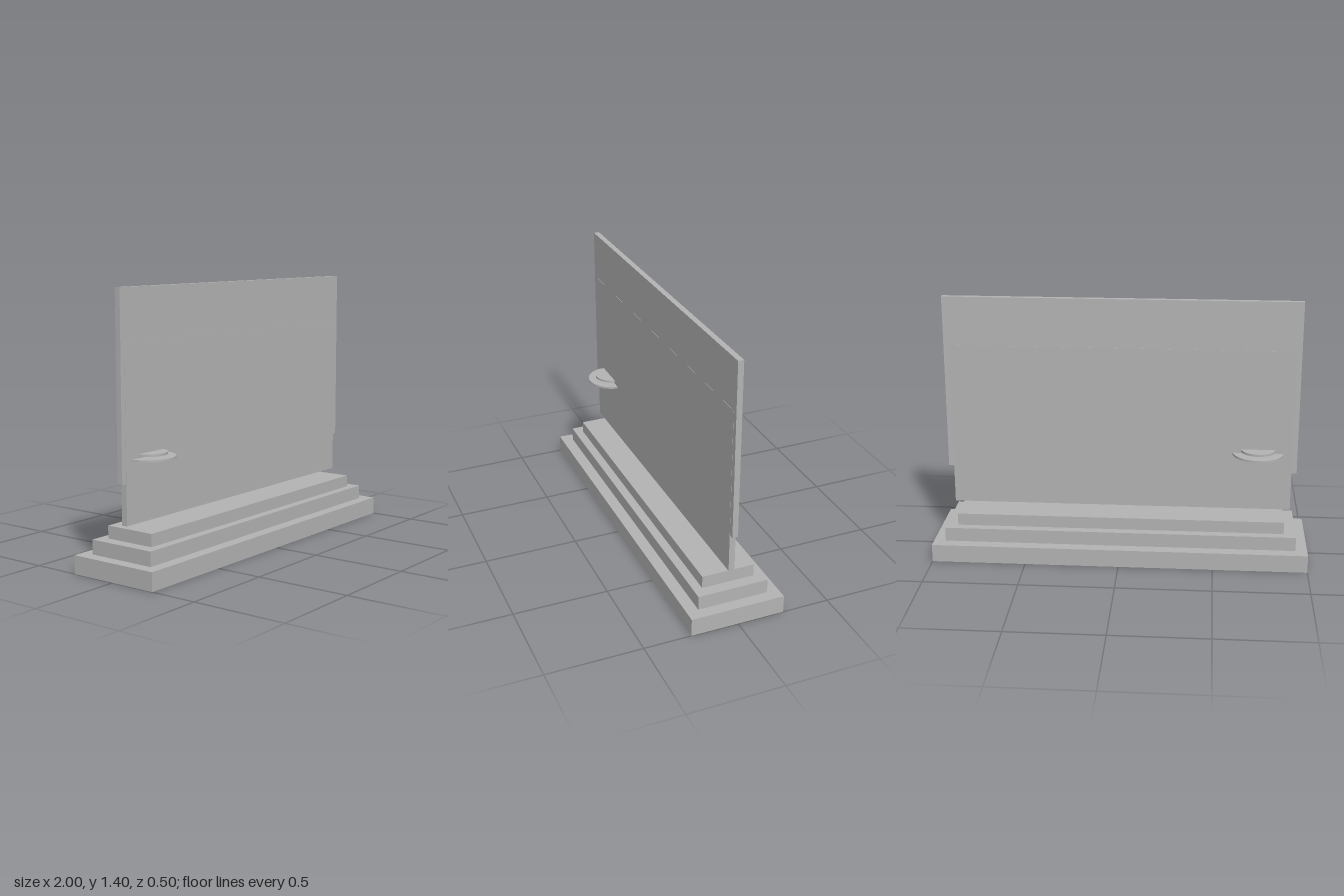
import * as THREE from 'three';

export function createModel() {
  const model = new THREE.Group();
  const grey = new THREE.MeshStandardMaterial({ color: 0xb2b2b2 });
  grey.name = 'plain grey';

  function add(name, geometry, x, y) {
    const mesh = new THREE.Mesh(geometry, grey);
    mesh.name = name;
    mesh.position.set(x, y, 0);
    model.add(mesh);
  }

  // Box given by its bottom and top heights, width and depth
  function slab(name, bottom, top, width, depth) {
    add(name, new THREE.BoxGeometry(width, top - bottom, depth), 0, (bottom + top) / 2);
  }

  // Thin horizontal disc pushed through the panel
  function disc(name, bottom, top, radius) {
    add(name, new THREE.CylinderGeometry(radius, radius, top - bottom, 48), -0.73, (bottom + top) / 2);
  }

  // Stepped plinth
  slab('bottomStep', 0, 0.095, 2, 0.5);
  slab('middleStep', 0.095, 0.17, 1.875, 0.375);
  slab('topStep', 0.17, 0.235, 1.75, 0.28);

  // Upright panel: a slightly thicker inner board behind the wider outer board
  slab('innerPanel', 0.26, 1.14, 1.82, 0.032);
  slab('outerPanel', 0.467, 1.4, 1.875, 0.03);

  // Stacked discs
  disc('largeDisc', 0.567, 0.578, 0.136);
  disc('smallDisc', 0.586, 0.598, 0.094);

  return model;
}
